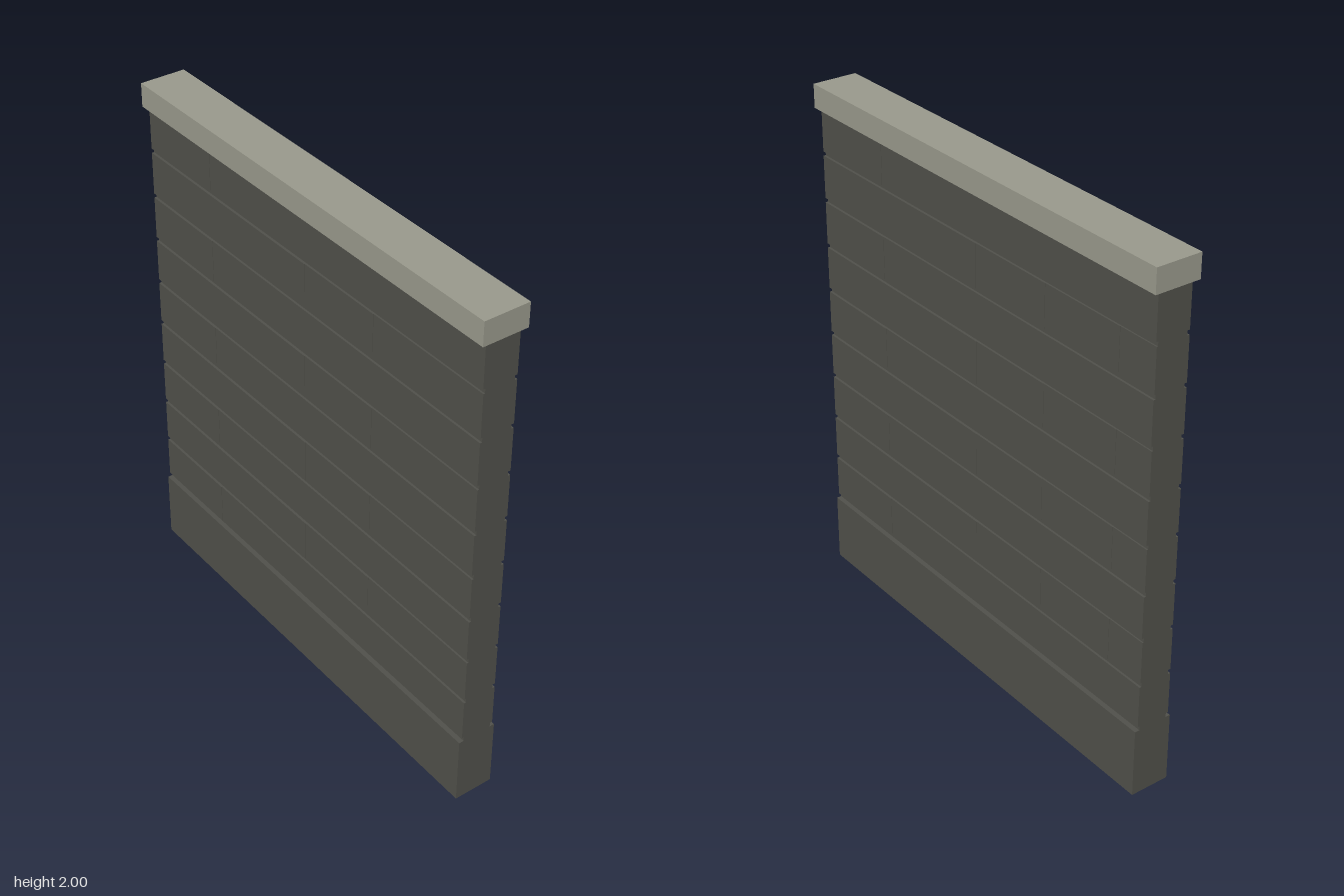
import * as THREE from 'three';

export function createModel() {
  const wall = new THREE.Group();
  wall.name = 'blockWall';
  const stone = new THREE.MeshStandardMaterial({ name: 'dark stone', color: 0x50504a });
  const capStone = new THREE.MeshStandardMaterial({ name: 'pale cap stone', color: 0x99998c });

  const HALF = 0.907;      // half length of the wall
  const CORE = 0.058;      // half thickness at the bottom of the grooves
  const PLINTH_TOP = 0.272, CAP_BOTTOM = 1.91;
  const PITCH = 0.1818, GROOVE = 0.017, COURSES = 9;

  // box given by its lower and upper limits on each axis
  const box = (parent, name, mat, x0, x1, y0, y1, z0, z1) => {
    const mesh = new THREE.Mesh(new THREE.BoxGeometry(x1 - x0, y1 - y0, z1 - z0), mat);
    mesh.position.set((x0 + x1) / 2, (y0 + y1) / 2, (z0 + z1) / 2);
    mesh.name = name;
    parent.add(mesh);
  };

  // plinth, core showing in the grooves, and overhanging cap
  box(wall, 'plinth', stone, -HALF, HALF, 0, PLINTH_TOP, -0.077, 0.077);
  box(wall, 'core', stone, -HALF, HALF, PLINTH_TOP, CAP_BOTTOM, -CORE, CORE);
  box(wall, 'cap', capStone, -0.919, 0.919, CAP_BOTTOM, 2, -0.088, 0.088);

  // one face of block courses; each block stands a hair behind its neighbour
  const blockFace = (name, oddJoints, evenJoints) => {
    const face = new THREE.Group();
    face.name = name;
    for (let c = 0; c < COURSES; c++) {
      const y0 = PLINTH_TOP + c * PITCH + GROOVE;
      const y1 = y0 + PITCH - GROOVE;
      const stops = [-HALF, ...(c % 2 ? oddJoints : evenJoints), HALF];
      for (let i = 0; i < stops.length - 1; i++) {
        box(face, 'block', stone, stops[i], stops[i + 1], y0, y1, CORE, 0.0675 - i * 0.0015);
      }
    }
    wall.add(face);
    return face;
  };
  blockFace('frontCourses', [0.01, 0.375], [-0.535]);
  blockFace('backCourses', [0.01, 0.375, 0.74], [-0.535]).rotation.y = Math.PI;

  return wall;
}
